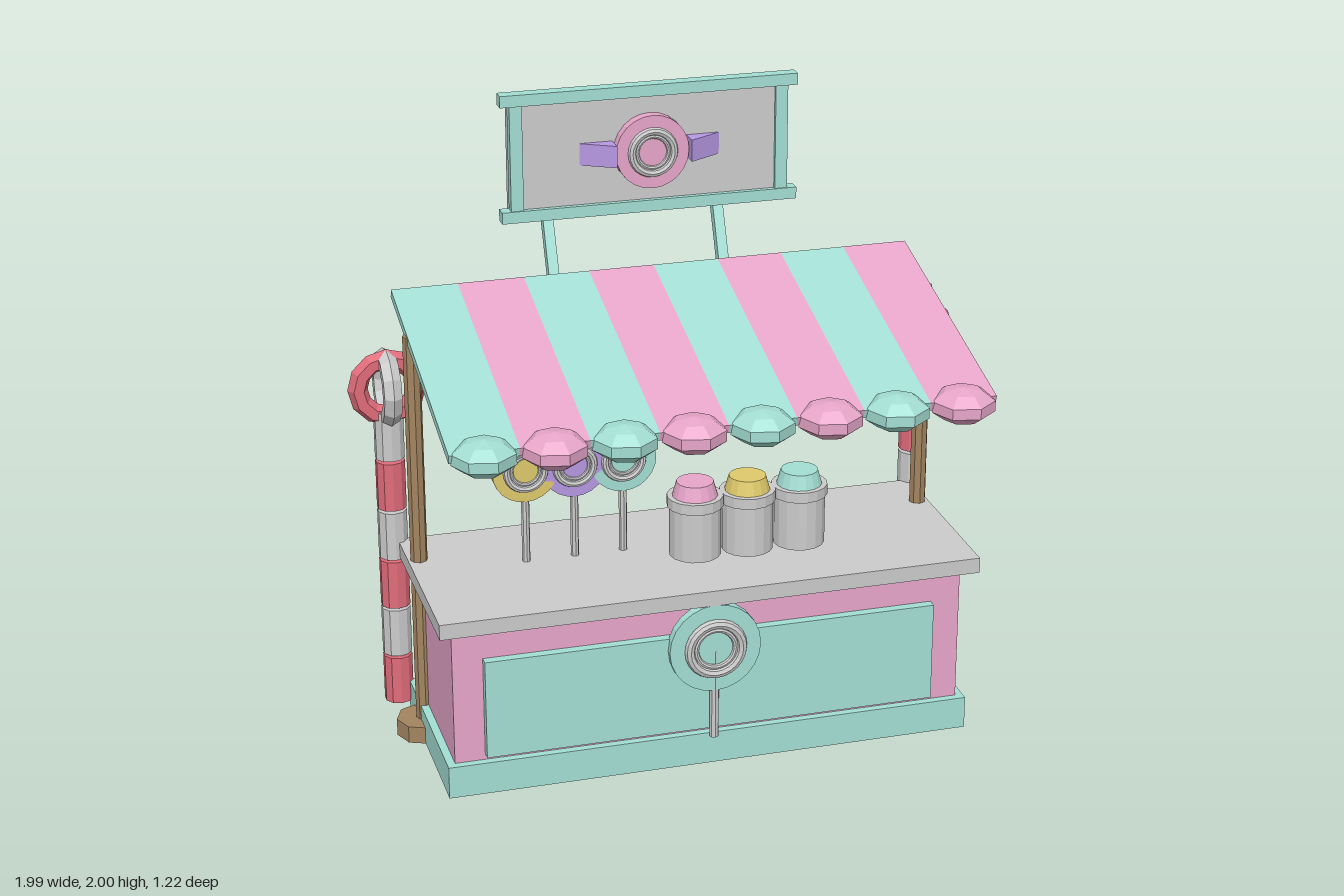
import * as THREE from 'three';

const MINT = 0xa4dfd4, PINK = 0xe8a6ca, PURPLE = 0xb898e4, YELLOW = 0xdfca6c;
const WOOD = 0xa38560, RED = 0xe06c7a, GREY = 0xcccccc;

const materials = {};
function material(color) {
  return (materials[color] ??= new THREE.MeshStandardMaterial({ color, flatShading: true }));
}

function add(parent, name, geometry, color, x = 0, y = 0, z = 0) {
  const mesh = new THREE.Mesh(geometry, material(color));
  mesh.name = name;
  mesh.position.set(x, y, z);
  parent.add(mesh);
  return mesh;
}

// Box given by its extents
function block(parent, name, color, x0, x1, y0, y1, z0, z1) {
  return add(parent, name, new THREE.BoxGeometry(x1 - x0, y1 - y0, z1 - z0), color,
    (x0 + x1) / 2, (y0 + y1) / 2, (z0 + z1) / 2);
}

// Upright cylinder or frustum given by its bottom and top heights
function column(parent, name, color, rTop, rBottom, y0, y1, sides, x, z) {
  return add(parent, name, new THREE.CylinderGeometry(rTop, rBottom, y1 - y0, sides), color,
    x, (y0 + y1) / 2, z);
}

// Round candy facing the front, with two raised rings
function candy(parent, name, color, r, x, y, z, depth) {
  const group = new THREE.Group();
  group.name = name;
  group.position.set(x, y, z);
  const disc = add(group, 'candyDisc', new THREE.CylinderGeometry(r, r, depth, 24), color);
  disc.rotation.x = Math.PI / 2;
  add(group, 'outerRing', new THREE.TorusGeometry(r * 0.575, r * 0.11, 8, 24), GREY, 0, 0, depth / 2 + r * 0.03);
  add(group, 'innerRing', new THREE.TorusGeometry(r * 0.43, r * 0.06, 8, 24), GREY, 0, 0, depth / 2 + r * 0.02);
  parent.add(group);
}

export function createModel() {
  const model = new THREE.Group();
  model.name = 'candyStall';

  // Counter
  block(model, 'base', MINT, -0.84, 0.84, 0, 0.105, -0.24, 0.375);
  block(model, 'counterBody', PINK, -0.815, 0.815, 0.01, 0.56, -0.205, 0.35);
  block(model, 'counterTop', GREY, -0.86, 0.86, 0.555, 0.605, -0.24, 0.403);
  block(model, 'frontPanel', MINT, -0.72, 0.72, 0.125, 0.45, 0.34, 0.38);
  column(model, 'frontCandyStick', GREY, 0.015, 0.015, 0.1, 0.4, 8, 0, 0.387);
  candy(model, 'frontCandy', MINT, 0.146, 0, 0.41, 0.385, 0.032);

  // Posts, feet and candy canes on both sides
  for (const side of [-1, 1]) {
    column(model, 'post', WOOD, 0.027, 0.027, 0.02, 1.35, 8, side * 0.825, -0.072);
    column(model, 'postFoot', WOOD, 0.087, 0.087, 0, 0.056, 8, side * 0.828, -0.072);

    const cane = new THREE.Group();
    cane.name = 'candyCane';
    cane.position.set(side * 0.872, 0, -0.252);
    for (let i = 0; i < 6; i++) {
      const y = 0.04 + i * 0.169;
      column(cane, 'caneSegment', i % 2 ? GREY : RED, 0.047, 0.047, y, y + 0.16, 10, 0, 0);
    }
    const loop = new THREE.TorusGeometry(0.093, 0.032, 6, 12);
    add(cane, 'redLoop', loop, RED, 0, 1.12, 0);
    add(cane, 'greyLoop', loop, GREY, 0, 1.12, 0).rotation.y = Math.PI / 2;
    model.add(cane);
  }

  // Sloping striped awning with a rounded tip on every stripe
  const stripe = new THREE.BoxGeometry(0.21, 0.028, 0.855);
  const tip = new THREE.SphereGeometry(0.103, 7, 5).scale(1, 0.53, 1);
  for (let i = 0; i < 8; i++) {
    const x = (i - 3.5) * 0.21;
    const color = i % 2 ? PINK : MINT;
    add(model, 'awningStripe', stripe, color, x, 1.298, 0.112).rotation.x = 0.26;
    add(model, 'awningTip', tip, color, x, 1.184, 0.52);
  }

  // Lollipops standing on the counter
  [YELLOW, PURPLE, MINT].forEach((color, i) => {
    const x = -0.505 + i * 0.156;
    column(model, 'lollipopStick', GREY, 0.013, 0.013, 0.6, 0.9, 8, x, 0.028);
    candy(model, 'lollipop', color, 0.105, x, 0.915, 0.03, 0.026);
  });

  // Candy jars
  [PINK, YELLOW, MINT].forEach((color, i) => {
    const x = -0.003 + i * 0.169;
    column(model, 'jarBody', GREY, 0.081, 0.081, 0.637, 0.802, 16, x, 0.182);
    column(model, 'jarRim', GREY, 0.088, 0.088, 0.8, 0.834, 16, x, 0.182);
    column(model, 'jarLid', color, 0.058, 0.071, 0.834, 0.88, 16, x, 0.182);
  });

  // Sign: board, frame, emblem and slanted supports
  const sign = new THREE.Group();
  sign.name = 'sign';
  model.add(sign);
  block(sign, 'signBoard', GREY, -0.445, 0.445, 1.61, 1.975, -0.4, -0.34);
  block(sign, 'frameTop', MINT, -0.478, 0.478, 1.963, 2, -0.367, -0.323);
  block(sign, 'frameBottom', MINT, -0.478, 0.478, 1.59, 1.627, -0.367, -0.323);
  candy(sign, 'emblem', PINK, 0.118, 0, 1.79, -0.32, 0.035);
  for (const side of [-1, 1]) {
    const x = side * 0.428;
    block(sign, 'frameSide', MINT, x - 0.02, x + 0.02, 1.61, 1.98, -0.362, -0.328);
    const wing = column(sign, 'bowWing', PURPLE, 0.07, 0.07, 1.755, 1.825, 3, side * 0.155, -0.339);
    wing.rotation.y = side * Math.PI / 2;
    const support = add(sign, 'signSupport', new THREE.BoxGeometry(0.034, 0.42, 0.034), MINT,
      side * 0.282, 1.413, -0.508);
    support.rotation.x = -0.405;
  }

  return model;
}
